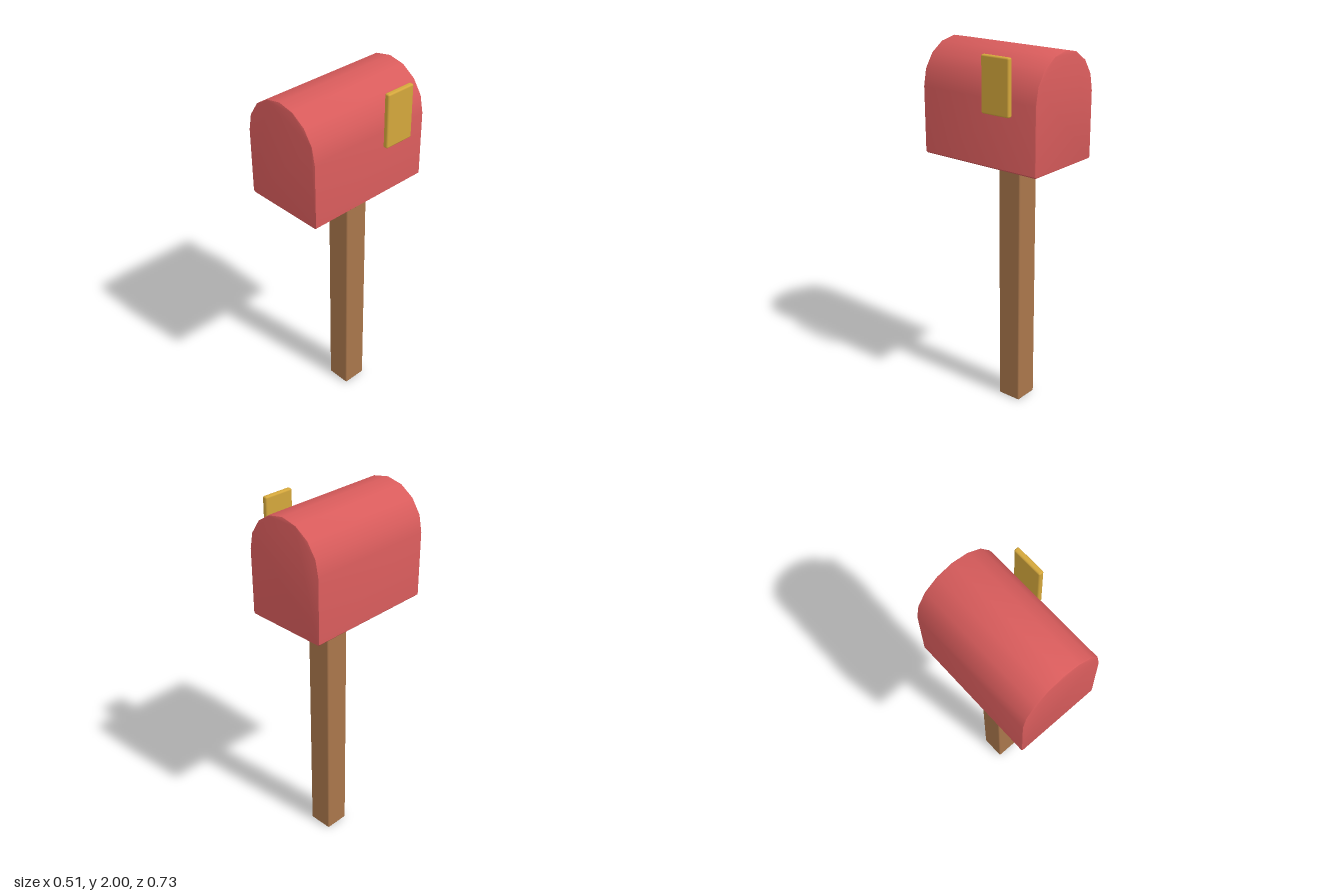
import * as THREE from 'three';
import { toCreasedNormals } from 'three/addons/utils/BufferGeometryUtils.js';
import { RoundedBoxGeometry } from 'three/addons/geometries/RoundedBoxGeometry.js';

function material(name, color) {
  const m = new THREE.MeshStandardMaterial({ color });
  m.name = name;
  return m;
}

// Softly bevelled box given by its min and max corners
function bevelBox(name, mat, min, max, radius) {
  const size = max.map((v, i) => v - min[i]);
  const mesh = new THREE.Mesh(new RoundedBoxGeometry(...size, 2, radius), mat);
  mesh.position.set(...max.map((v, i) => (v + min[i]) / 2));
  mesh.name = name;
  return mesh;
}

// Arched box: straight walls below an eight-sided half circle
function archedBody(mat) {
  const half = 0.234, bevel = 0.006, r = half - bevel;
  const bottom = 1.41 + bevel, spring = 1.766, chamfer = 0.005, depth = 0.73;
  const points = [
    [-r + chamfer, bottom], [r - chamfer, bottom], [r, bottom + chamfer],
  ].map(([x, y]) => new THREE.Vector2(x, y));
  for (let i = 0; i <= 8; i++) {
    const a = (i / 8) * Math.PI;
    points.push(new THREE.Vector2(Math.cos(a) * r, spring + Math.sin(a) * r));
  }
  points.push(new THREE.Vector2(-r, bottom + chamfer));
  const geo = new THREE.ExtrudeGeometry(new THREE.Shape(points), {
    depth: depth - 2 * bevel, bevelThickness: bevel, bevelSize: bevel, bevelSegments: 2,
  });
  geo.translate(-0.023, 0, -depth / 2 + bevel);
  const mesh = new THREE.Mesh(toCreasedNormals(geo, 0.6), mat);
  mesh.name = 'mailboxBody';
  return mesh;
}

export function createModel() {
  const red = material('red', 0xd95c5c);
  const wood = material('wood', 0xa9764b);
  const yellow = material('yellow', 0xd4a73c);

  const group = new THREE.Group();
  group.name = 'mailbox';
  group.add(
    archedBody(red),
    // Post runs slightly into the body
    bevelBox('post', wood, [-0.093, 0, -0.142], [0.047, 1.43, -0.002], 0.008),
    // Signal flag standing just off the left wall
    bevelBox('flag', yellow, [0.228, 1.698, -0.235], [0.256, 1.986, -0.063], 0.009),
  );
  return group;
}
